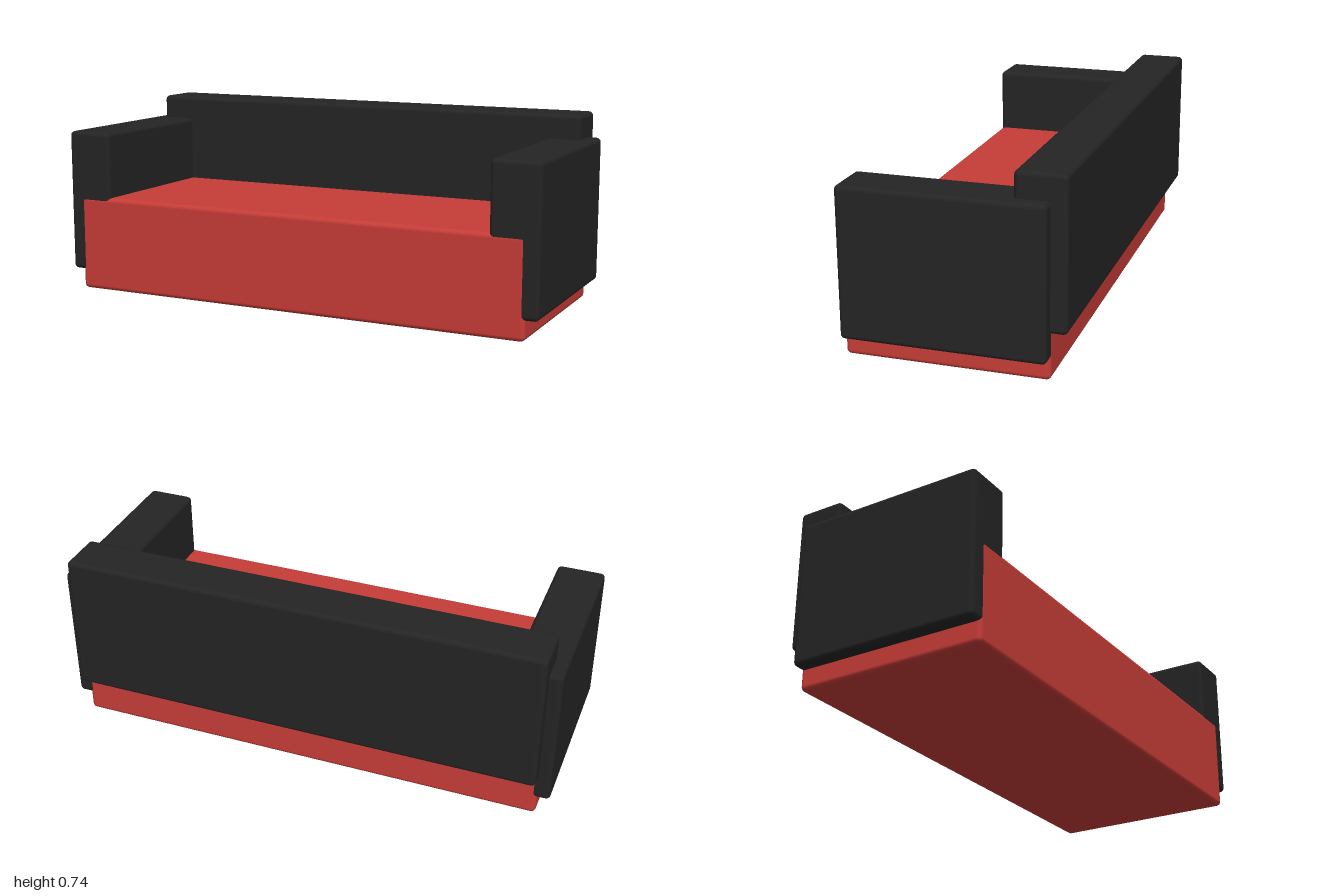
import * as THREE from 'three';
import { RoundedBoxGeometry } from 'three/addons/geometries/RoundedBoxGeometry.js';

const red = new THREE.MeshStandardMaterial({ name: 'red fabric', color: 0xc63c37 });
const black = new THREE.MeshStandardMaterial({ name: 'black fabric', color: 0x242424 });

// Soft-edged block spanning two corners
function block(name, material, min, max) {
  const [w, h, d] = max.map((v, i) => v - min[i]);
  const mesh = new THREE.Mesh(new RoundedBoxGeometry(w, h, d, 3, 0.018), material);
  mesh.name = name;
  mesh.position.set(...max.map((v, i) => (v + min[i]) / 2));
  return mesh;
}

export function createModel() {
  const sofa = new THREE.Group();
  sofa.name = 'sofa';

  // Seat base, a hair proud of the arms so flush faces do not flicker
  sofa.add(block('seat', red, [-0.95, 0, -0.351], [0.95, 0.383, 0.411]));

  // Backrest, raised off the floor behind the seat
  sofa.add(block('backrest', black, [-0.95, 0.174, -0.41], [0.95, 0.744, -0.22]));

  // Armrests overlapping the seat ends
  sofa.add(block('leftArmrest', black, [0.81, 0.078, -0.35], [1, 0.648, 0.41]));
  sofa.add(block('rightArmrest', black, [-1, 0.078, -0.35], [-0.81, 0.648, 0.41]));

  return sofa;
}
